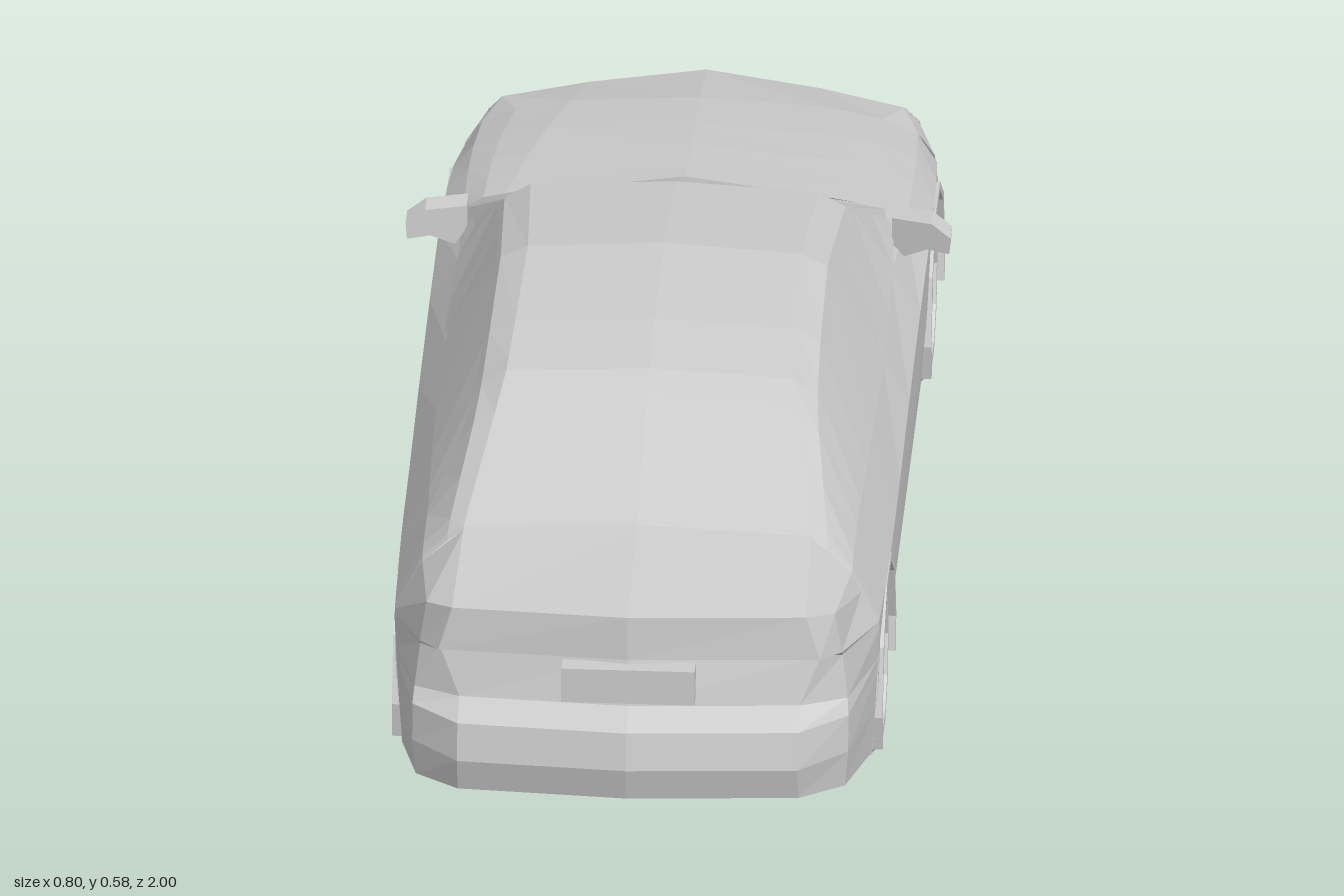
import * as THREE from 'three';

const mat = new THREE.MeshStandardMaterial({ color: 0xcccccc, flatShading: true, side: THREE.DoubleSide });
const WHEEL_Z = [0.56, -0.61], WHEEL_Y = 0.14;

function mesh(name, geometry) {
  const m = new THREE.Mesh(geometry, mat);
  m.name = name;
  return m;
}

// Skin over rows of [x, y, z] points
function grid(name, rows, flip = false) {
  const pos = [];
  const tri = (a, b, c) => pos.push(...a, ...(flip ? c : b), ...(flip ? b : c));
  for (let r = 0; r < rows.length - 1; r++)
    for (let c = 0; c < rows[r].length - 1; c++) {
      const a = rows[r][c], b = rows[r][c + 1], d = rows[r + 1][c], e = rows[r + 1][c + 1];
      tri(a, b, d);
      tri(b, e, d);
    }
  const g = new THREE.BufferGeometry();
  g.setAttribute('position', new THREE.Float32BufferAttribute(pos, 3));
  g.computeVertexNormals();
  return mesh(name, g);
}

// Complete a half row (centre outwards) to both sides
const both = half => [...half.slice(1).reverse().map(([x, y, z]) => [-x, y, z]), ...half];
const mirrored = rows => rows.map(r => r.map(([x, y, z]) => [-x, y, z]));

// z, centre z offset, centre y, then x/y of top edge, shoulder, belt and widest line
const KEYS = [
  [0.73, 0, 0.443, 0.255, 0.432, 0.277, 0.416, 0.315, 0.38, 0.355, 0.3],
  [0.715, 0, 0.445, 0.255, 0.434, 0.28, 0.42, 0.316, 0.385, 0.356, 0.3],
  [0.485, 0, 0.532, 0.218, 0.522, 0.25, 0.505, 0.315, 0.4, 0.36, 0.305],
  [0.478, 0, 0.546, 0.212, 0.536, 0.248, 0.51, 0.315, 0.4, 0.36, 0.305],
  [0.3, 0, 0.566, 0.205, 0.555, 0.243, 0.535, 0.318, 0.4, 0.36, 0.31],
  [0.08, 0, 0.576, 0.2, 0.564, 0.24, 0.545, 0.32, 0.4, 0.36, 0.325],
  [-0.18, 0, 0.541, 0.212, 0.53, 0.25, 0.507, 0.318, 0.395, 0.36, 0.333],
  [-0.187, 0, 0.527, 0.218, 0.517, 0.251, 0.5, 0.318, 0.395, 0.36, 0.333],
  [-0.4, -0.04, 0.41, 0.265, 0.395, 0.295, 0.39, 0.325, 0.37, 0.36, 0.333],
  [-0.62, 0, 0.39, 0.225, 0.378, 0.29, 0.362, 0.327, 0.345, 0.357, 0.315],
  [-0.78, 0, 0.366, 0.19, 0.355, 0.27, 0.338, 0.32, 0.315, 0.348, 0.27],
];

function keyAt(z) {
  let i = 0;
  while (i < KEYS.length - 2 && z < KEYS[i + 1][0]) i++;
  const t = (KEYS[i][0] - z) / (KEYS[i][0] - KEYS[i + 1][0]);
  return KEYS[i].map((v, k) => v + (KEYS[i + 1][k] - v) * t);
}

// Outline of the body across z, with sill height as given (raised inside wheel arches)
function section(z, sill = 0.08) {
  const [, dz, cy, x1, y1, x2, y2, x3, y3, x4, y4] = keyAt(z);
  const low = Math.min(Math.max(0.2, sill + 0.01), y4 - 0.002);
  return both([[0, cy, z + dz], [x1, y1, z], [x2, y2, z], [x3, y3, z], [x4, y4, z],
    [Math.min(x4, 0.354), low, z], [0.345 + (sill > 0.1 ? 0.006 : 0), sill, z],
    [0.25, sill, z], [0.25, 0.08, z], [0, 0.08, z]]);
}

function body() {
  const stations = KEYS.map(k => [k[0], 0.08]);
  const arch = [[0.163, 0.08], [0.16, 0.14], [0.13, 0.234], [0.05, 0.292]];
  for (const c of WHEEL_Z) {
    for (let i = stations.length - 1; i >= 0; i--)
      if (Math.abs(stations[i][0] - c) < 0.16) stations.splice(i, 1);
    for (const [d, y] of arch) stations.push([c + d, y], [c - d, y]);
  }
  stations.sort((a, b) => b[0] - a[0]);
  return grid('body', stations.map(([z, y]) => section(z, y)));
}

// Row of an end piece: centre, middle, corner and the joint with the body
function endRow(sign, [yc, zc, xm, xc, xj, yj], bow, cornerZ, jointZ) {
  return [[0, yc, sign * zc], [xm, yc - 0.01, sign * (zc - bow)],
    [xc, yc * 0.75 + yj * 0.25 - 0.008, sign * (cornerZ + (zc - 0.95) * 0.35)], [xj, yj, sign * jointZ]];
}

const TAIL = [
  [[0, 0.443, 0.73], [0.255, 0.432, 0.73], [0.315, 0.38, 0.73], [0.315, 0.38, 0.73]],
  ...[[0.413, 0.955, 0.26, 0.3, 0.33, 0.35], [0.345, 0.958, 0.28, 0.31, 0.355, 0.3],
    [0.335, 0.925, 0.28, 0.31, 0.356, 0.29], [0.262, 0.945, 0.25, 0.318, 0.354, 0.24],
    [0.24, 0.99, 0.25, 0.32, 0.353, 0.22], [0.183, 1.0, 0.25, 0.32, 0.35, 0.16],
    [0.13, 0.985, 0.25, 0.315, 0.345, 0.085]].map(r => endRow(1, r, 0.036, 0.875, 0.73)),
  [[0, 0.08, 0.73], [0.25, 0.08, 0.73], [0.31, 0.08, 0.73], [0.345, 0.08, 0.73]],
];

const NOSE = [
  [[0, 0.366, -0.78], [0.19, 0.355, -0.78], [0.27, 0.338, -0.78], [0.32, 0.315, -0.78]],
  ...[[0.328, 0.94, 0.17, 0.295, 0.325, 0.31], [0.302, 0.975, 0.175, 0.315, 0.345, 0.28],
    [0.24, 0.982, 0.18, 0.325, 0.35, 0.23], [0.16, 0.985, 0.18, 0.325, 0.35, 0.16],
    [0.1, 0.985, 0.17, 0.315, 0.345, 0.085]].map(r => endRow(-1, r, 0.03, 0.865, 0.78)),
  [[0, 0.08, -0.78], [0.18, 0.08, -0.78], [0.31, 0.08, -0.78], [0.345, 0.08, -0.78]],
];

// Side glass between the belt and a list of [z, top y] points
function sideWindow(pts, bottom) {
  const on = (z, y) => {
    const [, , , , , x2, y2, x3, y3] = keyAt(z);
    return [x3 + (x2 - x3) * (y - y3) / (y2 - y3) + 0.004, y, z];
  };
  return [pts.map(([z, y]) => on(z, y)), pts.map(([z]) => on(z, bottom))];
}

// Glass laid on the sloping body between two stations
function screen(name, zTop, zBottom) {
  const row = z => {
    const [, dz, cy, x1, y1] = keyAt(z);
    return both([[0, cy + 0.003, z + dz], [x1 - 0.006, y1 + 0.003, z]]);
  };
  return grid(name, [row(zTop), row(zBottom)], zTop > 0);
}

function wheel(side, z) {
  const profile = [[0, 0.26], [0.147, 0.26], [0.147, 0.322], [0.115, 0.352], [0.1, 0.352], [0.094, 0.336],
    [0.05, 0.338], [0.045, 0.35], [0.032, 0.35], [0.03, 0.345], [0, 0.345]];
  const g = new THREE.LatheGeometry(profile.map(p => new THREE.Vector2(...p)), 10);
  g.rotateZ(-Math.PI / 2);
  const m = mesh('wheel', g);
  m.position.set(0, WHEEL_Y, z);
  if (side < 0) m.rotation.y = Math.PI;
  return m;
}

// Raised lip around a wheel opening
function archLip(side, z) {
  const angles = [-20, 0, 36, 72, 108, 144, 180, 200].map(a => a * Math.PI / 180);
  const ring = r => angles.map(a => new THREE.Vector2(r * Math.cos(a), r * Math.sin(a)));
  const shape = new THREE.Shape([...ring(0.168), ...ring(0.155).reverse()]);
  const g = new THREE.ExtrudeGeometry(shape, { depth: 0.016, bevelEnabled: false });
  g.rotateY(Math.PI / 2);
  const m = mesh('wheelArch', g);
  m.position.set(side > 0 ? 0.344 : -0.36, WHEEL_Y, z);
  return m;
}

function mirror(side) {
  const pts = [[0.312, 0.433], [0.312, 0.39], [0.33, 0.374], [0.365, 0.394], [0.398, 0.394],
    [0.4, 0.42], [0.372, 0.437]].map(([x, y]) => new THREE.Vector2(side * x, y));
  const g = new THREE.ExtrudeGeometry(new THREE.Shape(pts), { depth: 0.04, bevelEnabled: false });
  // Sweep the outer end backwards
  const p = g.attributes.position;
  for (let i = 0; i < p.count; i++) p.setZ(i, p.getZ(i) - 0.33 + (Math.abs(p.getX(i)) - 0.31) * 0.4);
  g.computeVertexNormals();
  return mesh('wingMirror', g);
}

function plate(name, w, h, d, y, z) {
  const m = mesh(name, new THREE.BoxGeometry(w, h, d));
  m.position.set(0, y, z);
  return m;
}

export function createModel() {
  const car = new THREE.Group();
  car.name = 'car';
  car.add(body(), grid('tail', TAIL.map(both), true), grid('nose', NOSE.map(both)));
  car.add(screen('rearWindow', 0.487, 0.713), screen('windscreen', -0.189, -0.398));

  const rear = sideWindow([[0.61, 0.405], [0.54, 0.455], [0.44, 0.505], [0.32, 0.525], [0.115, 0.535], [0.09, 0.402]], 0.4);
  const front = sideWindow([[0.05, 0.537], [-0.05, 0.518], [-0.2, 0.487], [-0.29, 0.44], [-0.34, 0.403]], 0.398);
  // Headlight glass sits just ahead of the nose corner
  const lamp = [1, 2, 3].map(r => [NOSE[r][1], NOSE[r][2]].map(([x, y, z]) => [x + 0.002, y - 0.004, z - 0.004]));
  for (const [name, rows] of [['rearSideWindow', rear], ['frontSideWindow', front], ['headlight', lamp]])
    car.add(grid(name, rows), grid(name, mirrored(rows), true));

  for (const side of [1, -1]) {
    for (const z of WHEEL_Z) car.add(wheel(side, z), archLip(side, z));
    car.add(mirror(side));
  }
  car.add(plate('rearPlate', 0.196, 0.055, 0.03, 0.295, 0.933));
  car.add(plate('frontPlate', 0.18, 0.055, 0.04, 0.195, -0.98));
  return car;
}
